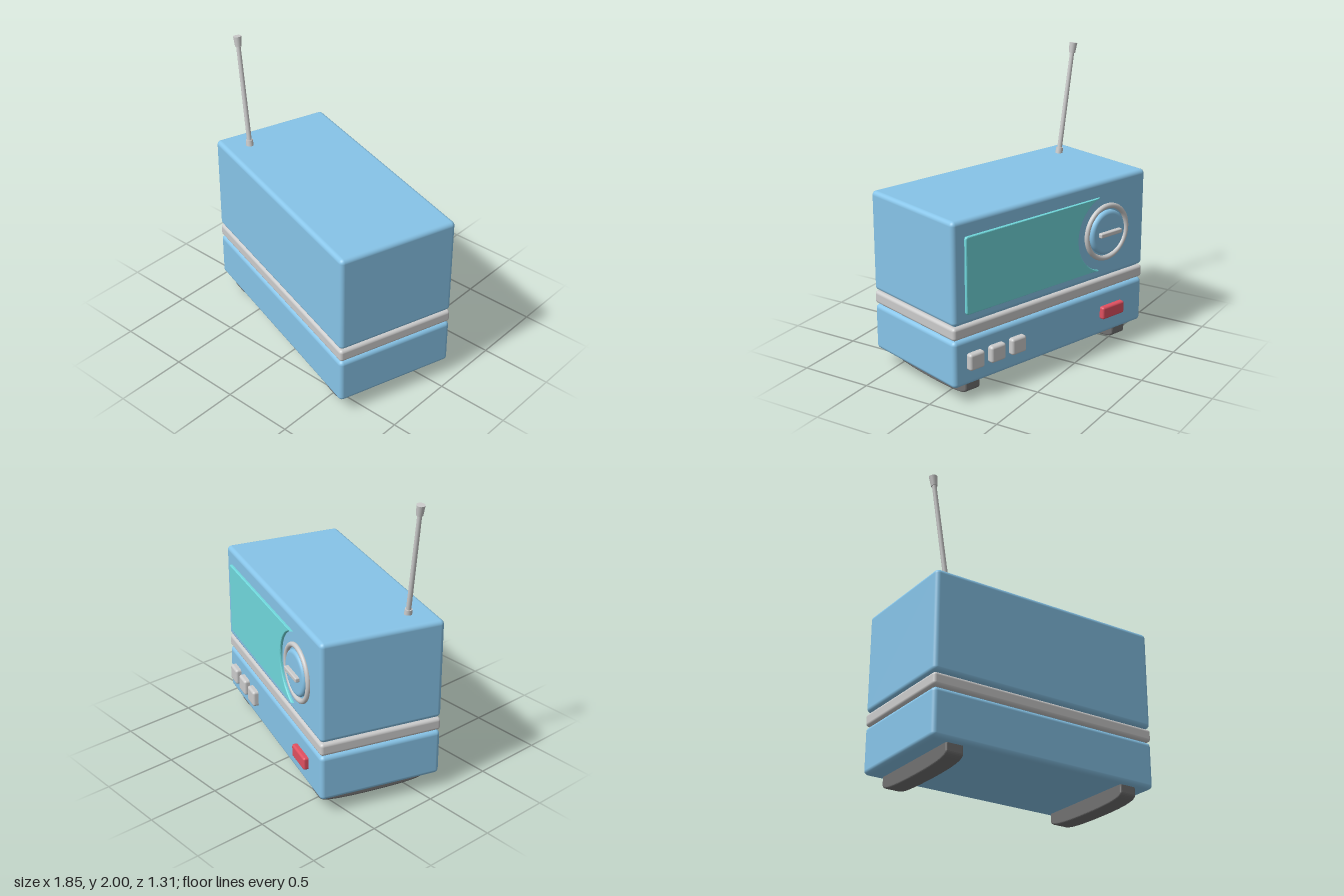
import * as THREE from 'three';
import { RoundedBoxGeometry } from 'three/addons/geometries/RoundedBoxGeometry.js';

const material = (color) => new THREE.MeshStandardMaterial({ color });
const GREY = material(0xcccccc);
const BLUE = material(0x87c4e8);
const TEAL = material(0x70d8dc);
const RED = material(0xe05060);
const DARK = material(0x707070);

const WIDTH = 1.685, DEPTH = 0.845, FACE = DEPTH / 2;

export function createModel() {
  const model = new THREE.Group();
  model.name = 'portableSet';

  // The control panel is modelled facing local +z, then the set is turned.
  const set = new THREE.Group();
  set.name = 'set';
  set.rotation.y = THREE.MathUtils.degToRad(162.3);
  model.add(set);

  function add(name, geometry, mat, x = 0, y = 0, z = 0, parent = set) {
    const mesh = new THREE.Mesh(geometry, mat);
    mesh.name = name;
    mesh.position.set(x, y, z);
    parent.add(mesh);
    return mesh;
  }
  const rounded = (w, h, d, r) => new RoundedBoxGeometry(w, h, d, 4, r);

  // Casing: two shells and a trim band around a recessed core
  const shell = (name, y0, y1, mat, r) =>
    add(name, rounded(WIDTH, y1 - y0, DEPTH, r), mat, 0, (y0 + y1) / 2, 0);
  shell('lowerCase', 0.105, 0.428, BLUE, 0.03);
  shell('trimBand', 0.434, 0.522, GREY, 0.022);
  shell('upperCase', 0.529, 1.222, BLUE, 0.03);
  add('core', new THREE.BoxGeometry(WIDTH - 0.06, 0.2, DEPTH - 0.06), BLUE, 0, 0.48, 0);

  // Screen with a round bite taken out around the dial
  const dialX = 0.475, dialY = 0.855, bite = 0.268;
  const x0 = -0.75, half = 0.258, r = 0.02;
  const a = Math.asin(half / bite);
  const bevel = 0.008;
  const screen = new THREE.Shape();
  screen.moveTo(x0 + r, -half);
  screen.lineTo(dialX - bite * Math.cos(a), -half);
  screen.absarc(dialX, 0, bite, Math.PI + a, Math.PI - a, true);
  screen.lineTo(x0 + r, half);
  screen.quadraticCurveTo(x0, half, x0, half - r);
  screen.lineTo(x0, -half + r);
  screen.quadraticCurveTo(x0, -half, x0 + r, -half);
  add('screen', new THREE.ExtrudeGeometry(screen, {
    depth: 0.022, bevelThickness: bevel, bevelSize: bevel, bevelOffset: -bevel,
    bevelSegments: 3, curveSegments: 32,
  }), TEAL, 0, dialY, FACE - 0.012);

  // Dial: ring, bevelled knob and grip bar
  const dial = new THREE.Group();
  dial.name = 'dial';
  dial.position.set(dialX, dialY, FACE);
  set.add(dial);
  add('dialRing', new THREE.TorusGeometry(0.184, 0.018, 12, 64), GREY, 0, 0, 0.006, dial);
  const profile = [[0.155, -0.01], [0.155, 0.012], [0.151, 0.021], [0.142, 0.027], [0.13, 0.03], [0, 0.03]]
    .map(([px, py]) => new THREE.Vector2(px, py));
  add('dialKnob', new THREE.LatheGeometry(profile, 64), BLUE, 0, 0, 0, dial).rotation.x = Math.PI / 2;
  add('dialGrip', rounded(0.195, 0.032, 0.05, 0.008), GREY, 0, 0, 0.033, dial);

  // Push buttons and power switch
  [-0.68, -0.505, -0.33].forEach((x, i) =>
    add('button' + (i + 1), rounded(0.122, 0.115, 0.08, 0.018), GREY, x, 0.272, FACE));
  add('powerSwitch', rounded(0.205, 0.09, 0.07, 0.015), RED, 0.537, 0.27, FACE);

  // Runner feet with upswept ends
  const hz = 0.37, top = 0.11, fb = 0.012;
  const runner = new THREE.Shape();
  runner.moveTo(-hz, top);
  runner.lineTo(-hz, 0.055);
  runner.bezierCurveTo(-hz, 0.025, -0.25, fb, 0, fb);
  runner.bezierCurveTo(0.25, fb, hz, 0.025, hz, 0.055);
  runner.lineTo(hz, top);
  const runnerGeo = new THREE.ExtrudeGeometry(runner, {
    depth: 0.1, bevelThickness: fb, bevelSize: fb, bevelSegments: 4, curveSegments: 20,
  });
  runnerGeo.translate(0, 0, -0.05);
  runnerGeo.rotateY(Math.PI / 2);
  for (const side of [-1, 1]) add(side < 0 ? 'rightFoot' : 'leftFoot', runnerGeo, DARK, side * 0.66);

  // Leaning antenna with collar and tip
  const antenna = new THREE.Group();
  antenna.name = 'antenna';
  antenna.position.set(0.664, 1.22, -0.25);
  antenna.rotation.z = -Math.atan(0.122 / 0.76);
  set.add(antenna);
  const rod = (name, r0, r1, y0, y1) =>
    add(name, new THREE.CylinderGeometry(r1, r0, y1 - y0, 20), GREY, 0, (y0 + y1) / 2, 0, antenna);
  rod('antennaCollar', 0.027, 0.024, -0.01, 0.04);
  rod('antennaRod', 0.017, 0.015, 0, 0.74);
  rod('antennaTip', 0.022, 0.028, 0.715, 0.785);

  return model;
}
